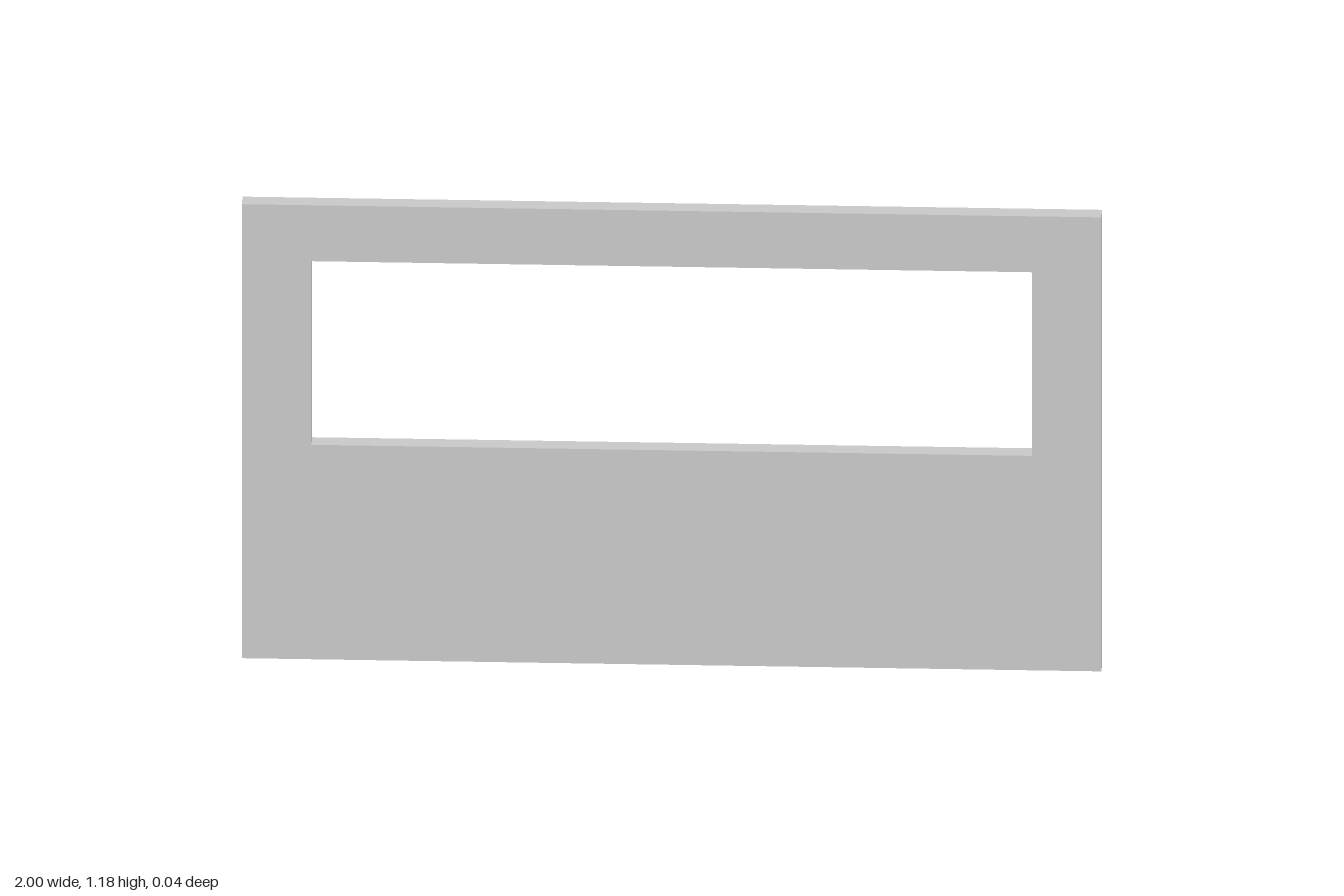
import * as THREE from 'three';

const HEIGHT = 1.177;
const THICKNESS = 0.04;

// Traces a rectangle, centred on x, onto a Shape or Path
function rectangle(path, halfWidth, bottom, top) {
  path.moveTo(-halfWidth, bottom);
  path.lineTo(halfWidth, bottom);
  path.lineTo(halfWidth, top);
  path.lineTo(-halfWidth, top);
  path.closePath();
  return path;
}

export function createModel() {
  const group = new THREE.Group();
  group.name = 'wall';

  // Flat wall panel with a wide window opening
  const outline = rectangle(new THREE.Shape(), 1, 0, HEIGHT);
  outline.holes.push(rectangle(new THREE.Path(), 0.838, 0.556, 1.032));

  const geometry = new THREE.ExtrudeGeometry(outline, { depth: THICKNESS, bevelEnabled: false });
  geometry.translate(0, 0, -THICKNESS / 2);

  const panel = new THREE.Mesh(geometry, new THREE.MeshStandardMaterial({ color: 0xcccccc }));
  panel.name = 'wallPanel';
  group.add(panel);
  return group;
}
